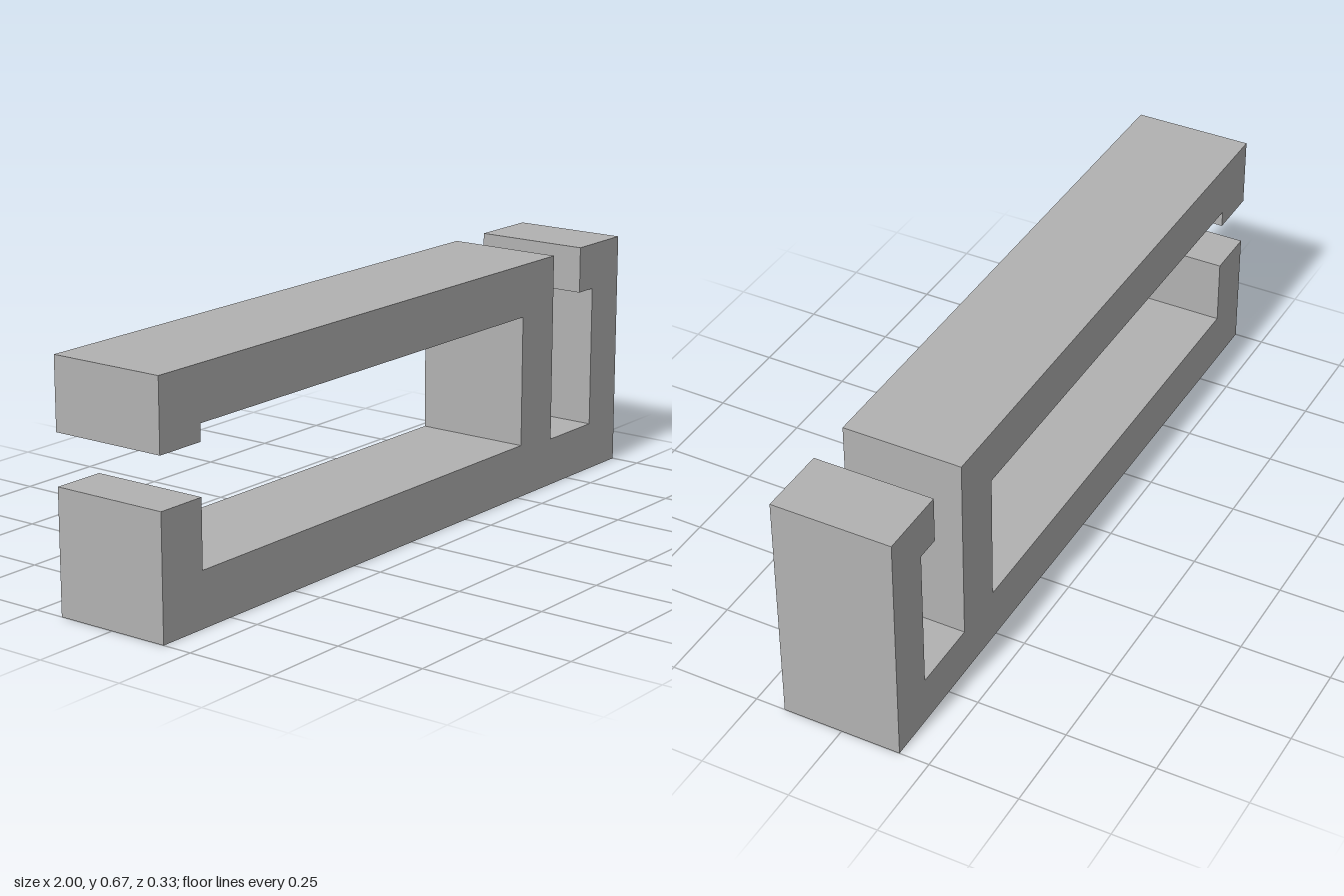
import * as THREE from 'three';

const HEIGHT = 0.667;
const DEPTH = 0.333;

export function createModel() {
  const model = new THREE.Group();
  model.name = 'slottedClip';

  const grey = new THREE.MeshStandardMaterial({ color: 0xb2b2b2 });
  grey.name = 'grey';

  // Side profile, counter-clockwise from the lower corner at -x
  const outline = [
    [-1, 0], [1, 0],
    // hooked end post
    [1, HEIGHT], [0.8, HEIGHT], [0.8, 0.537], [0.867, 0.537],
    // narrow slot and its floor
    [0.867, 0.135], [0.665, 0.135], [0.665, HEIGHT],
    // upper arm with a small lip
    [-1, HEIGHT], [-1, 0.473], [-0.853, 0.473], [-0.853, 0.519],
    // long inner opening
    [0.515, 0.519], [0.515, 0.15], [-0.853, 0.15],
    // lower lip
    [-0.853, 0.335], [-1, 0.335],
  ];
  const shape = new THREE.Shape(outline.map(([x, y]) => new THREE.Vector2(x, y)));

  // One solid body, centred in depth
  const geometry = new THREE.ExtrudeGeometry(shape, { depth: DEPTH, bevelEnabled: false });
  geometry.translate(0, 0, -DEPTH / 2);

  const body = new THREE.Mesh(geometry, grey);
  body.name = 'clipBody';
  model.add(body);
  return model;
}
